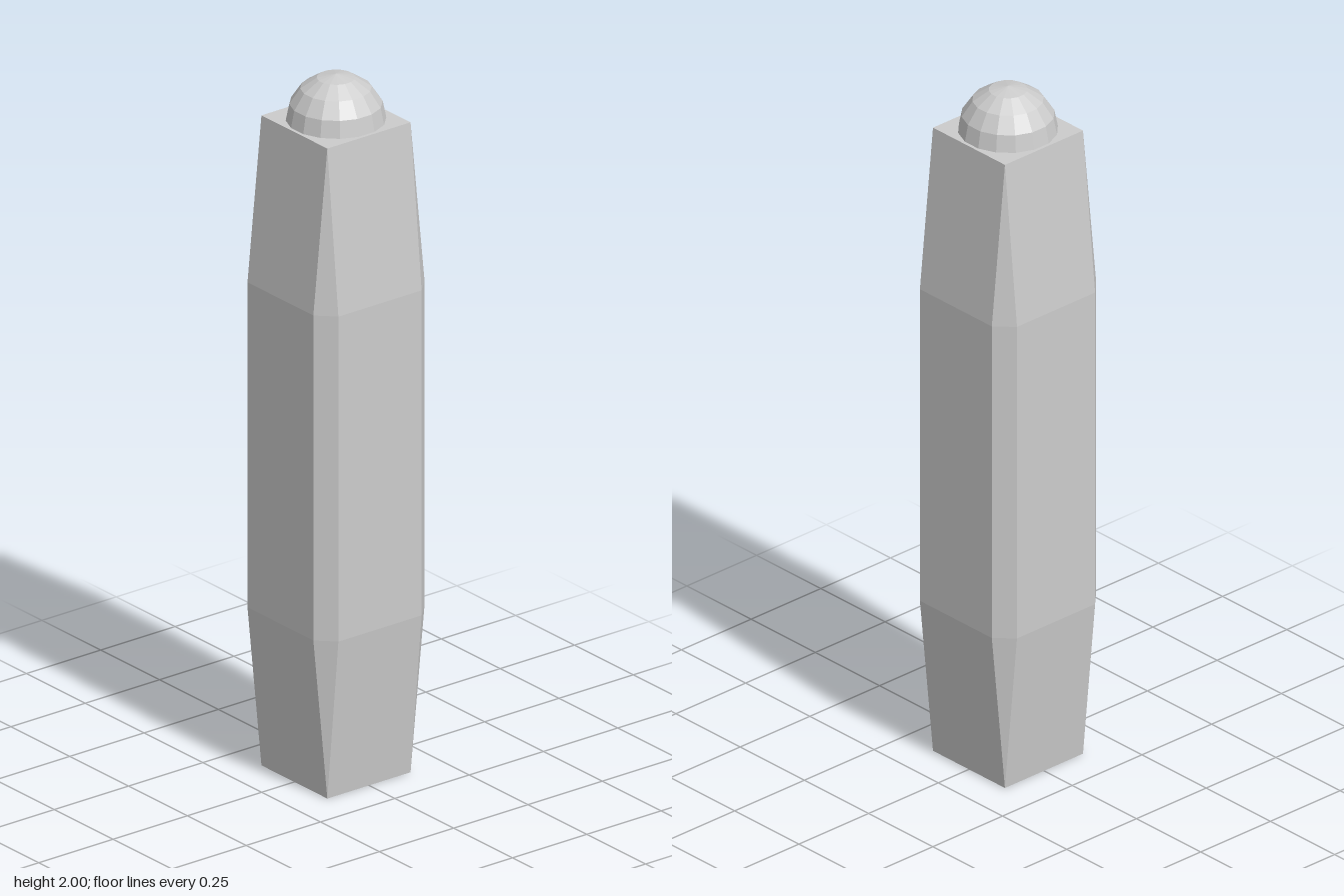
import * as THREE from 'three';
import { ConvexGeometry } from 'three/addons/geometries/ConvexGeometry.js';

const HEIGHT = 1.87;   // body height without the dome
const INNER = 0.14;    // half width of the square ends
const OUTER = 0.187;   // half width of the middle
const RADIUS = 0.134;  // dome radius

export function createModel() {
  const model = new THREE.Group();
  model.name = 'taperedPost';
  const material = new THREE.MeshStandardMaterial({ color: 0xcccccc, flatShading: true });

  // Body: square ends widening to a chamfered square in the middle
  const points = [];
  for (const sx of [-1, 1]) {
    for (const sz of [-1, 1]) {
      for (const y of [0, HEIGHT]) {
        points.push(new THREE.Vector3(sx * INNER, y, sz * INNER));
      }
      for (const y of [HEIGHT * 0.25, HEIGHT * 0.75]) {
        points.push(new THREE.Vector3(sx * OUTER, y, sz * INNER));
        points.push(new THREE.Vector3(sx * INNER, y, sz * OUTER));
      }
    }
  }
  const body = new THREE.Mesh(new ConvexGeometry(points), material);
  body.name = 'body';
  model.add(body);

  // Dome: faceted half sphere, turned so flat sides face the axes
  const dome = new THREE.Mesh(
    new THREE.SphereGeometry(RADIUS, 16, 4, 0, Math.PI * 2, 0, Math.PI / 2),
    material
  );
  dome.name = 'dome';
  dome.position.y = 2 - RADIUS;
  dome.rotation.y = Math.PI / 16;
  model.add(dome);

  return model;
}
